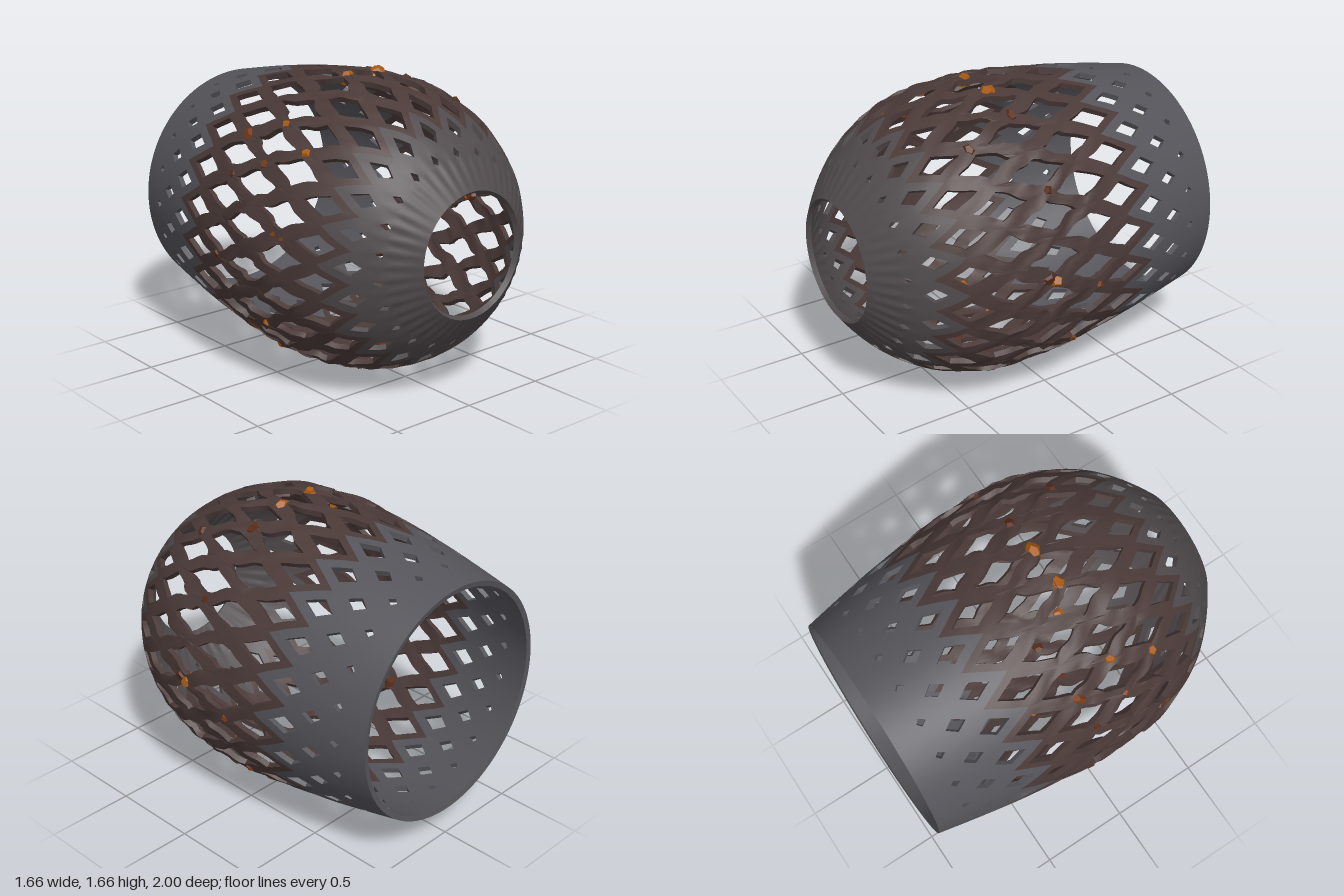
import * as THREE from 'three';
import { toCreasedNormals } from 'three/addons/utils/BufferGeometryUtils.js';

const COUNT = 22;                       // openings per ring
const STEP = (Math.PI * 2) / COUNT;
const CENTER_Y = 0.815;
const WALL = 0.03;

// Outer radius at even steps of z from -1.2 to 1.2
const RADII = [0.625, 0.665, 0.705, 0.742, 0.772, 0.797, 0.812, 0.812, 0.783, 0.71, 0.575, 0.338, 0.02];
const profile = new THREE.SplineCurve(RADII.map((r, i) => new THREE.Vector2(-1.2 + i * 0.2, r)));
const radius = z => profile.getPoint((z + 1.2) / 2.4).y;

// Rings of openings: position along the axis and share of the cell that is open
const RINGS = [
  [-0.83, 0.23], [-0.69, 0.38], [-0.53, 0.48], [-0.33, 0.6], [-0.09, 0.66],
  [0.16, 0.66], [0.4, 0.64], [0.61, 0.57], [0.76, 0.46], [0.865, 0.25],
];
const BACK_TIP = -0.92, FRONT_TIP = 0.93;

// Shell point from angle and z; depth 0 is the outside, WALL the inside
function shellPoint([a, z], depth) {
  const heat = Math.exp(-(((z - 0.15) / 0.4) ** 2));
  const a2 = a + heat * 0.012 * Math.sin(19 * a + 31 * z);
  const z2 = z + heat * 0.014 * Math.sin(27 * a - 23 * z);
  let r = radius(z2);
  const slope = (radius(z2 + 0.01) - radius(z2 - 0.01)) / 0.02;
  const len = Math.hypot(1, slope);
  // melted waviness around the middle, fine pleats near the small mouth
  r += heat * 0.006 * (Math.sin(9 * a + 13 * z) + Math.sin(31 * a - 37 * z));
  if (z > 0.82) r += 0.004 * Math.sin(44 * a) * Math.sin(((z - 0.82) / 0.18) * Math.PI);
  r -= depth / len;
  return [r * Math.sin(a2), CENTER_Y + r * Math.cos(a2), z2 + (depth * slope) / len];
}

const mix = (p, q, t) => [p[0] + (q[0] - p[0]) * t, p[1] + (q[1] - p[1]) * t];

// Collects faces for one part of the shell
function shellBuilder() {
  const pos = [];
  const face = (a, b, c, d) => pos.push(...a, ...b, ...c, ...a, ...c, ...d);
  return {
    // two-sided patch with thickness, corners counter-clockwise in (angle, z)
    patch(a, b, c, d, nu = 6, nv = 2) {
      const at = (i, j) => mix(mix(a, b, i / nu), mix(d, c, i / nu), j / nv);
      for (let i = 0; i < nu; i++) for (let j = 0; j < nv; j++) {
        const q = [at(i, j), at(i + 1, j), at(i + 1, j + 1), at(i, j + 1)];
        face(...q.map(p => shellPoint(p, WALL)));
        face(...q.reverse().map(p => shellPoint(p, 0)));
      }
    },
    // edge strip joining the outside to the inside
    edge(p, q, n = 6) {
      for (let i = 0; i < n; i++) {
        const s = mix(p, q, i / n), e = mix(p, q, (i + 1) / n);
        face(shellPoint(s, 0), shellPoint(e, 0), shellPoint(e, WALL), shellPoint(s, WALL));
      }
    },
    mesh(name, color) {
      const geo = new THREE.BufferGeometry();
      geo.setAttribute('position', new THREE.Float32BufferAttribute(pos, 3));
      const mesh = new THREE.Mesh(toCreasedNormals(geo, 0.7), new THREE.MeshStandardMaterial({ color }));
      mesh.name = name;
      return mesh;
    },
  };
}

const ringAngle = (ring, k) => (k + (ring % 2 === 0 ? 0.5 : 0)) * STEP;

// One ring of diamond frames; neighbouring rings interlock
function addRing(builder, ring) {
  const [z, open] = RINGS[ring];
  const zBack = ring > 0 ? RINGS[ring - 1][0] : BACK_TIP;
  const zFront = ring < RINGS.length - 1 ? RINGS[ring + 1][0] : FRONT_TIP;
  for (let k = 0; k < COUNT; k++) {
    const a = ringAngle(ring, k);
    const cell = [[a + STEP / 2, z], [a, zFront], [a - STEP / 2, z], [a, zBack]];
    const hole = cell.map(p => mix([a, z], p, open));
    for (let j = 0; j < 4; j++) {
      const n = (j + 1) % 4;
      builder.patch(cell[j], cell[n], hole[n], hole[j]);
      builder.edge(hole[n], hole[j]);
    }
  }
}

function seeded(seed) {
  return () => {
    seed = (seed * 16807) % 2147483647;
    return seed / 2147483647;
  };
}

export function createModel() {
  const group = new THREE.Group();
  group.name = 'latticeShell';

  // Solid collar at the wide back and solid mouth at the narrow front
  const collar = shellBuilder(), mouth = shellBuilder();
  const last = RINGS.length - 1, zb = RINGS[0][0], zf = RINGS[last][0], h = STEP / 2;
  for (let k = 0; k < COUNT; k++) {
    const a = ringAngle(0, k), b = ringAngle(last, k);
    collar.patch([a - h, -1], [a, -1], [a, BACK_TIP], [a - h, zb]);
    collar.patch([a, -1], [a + h, -1], [a + h, zb], [a, BACK_TIP]);
    collar.edge([a - h, -1], [a + h, -1], 12);
    mouth.patch([b - h, zf], [b, FRONT_TIP], [b, 1], [b - h, 1], 6, 4);
    mouth.patch([b, FRONT_TIP], [b + h, zf], [b + h, 1], [b, 1], 6, 4);
    mouth.edge([b + h, 1], [b - h, 1], 12);
  }

  // Lattice in three zones, rustier towards the middle
  const middle = shellBuilder();
  RINGS.forEach((_, i) => addRing(i < 3 ? collar : i < 8 ? middle : mouth, i));
  group.add(
    collar.mesh('backCollar', 0x54545a),
    middle.mesh('rustyLattice', 0x4a3a38),
    mouth.mesh('frontMouth', 0x504a4c),
  );

  // Molten lumps stuck to crossings of the lattice
  const lumps = new THREE.Group();
  lumps.name = 'moltenLumps';
  const rand = seeded(71);
  const colors = [0xa85a10, 0x7a3a14, 0x5a2c18];
  for (let i = 0; i < 30; i++) {
    const ring = i === 0 ? 5 : 4 + Math.floor(rand() * 3);
    const a = i === 0 ? h : ringAngle(ring + 1, Math.floor(rand() * COUNT));
    const z = RINGS[ring][0] + (rand() - 0.5) * 0.1;
    const size = i === 0 ? 0.045 : 0.025 + rand() * 0.016;
    const lump = new THREE.Mesh(
      new THREE.DodecahedronGeometry(size, 0),
      new THREE.MeshStandardMaterial({ color: colors[i % 3], flatShading: true }),
    );
    lump.name = 'lump';
    lump.position.set(...shellPoint([a, z], 0.018));
    lump.rotation.set(rand() * 3, rand() * 3, -a);
    lump.scale.set(1, 0.8, 1.2);
    lumps.add(lump);
  }
  group.add(lumps);
  return group;
}
